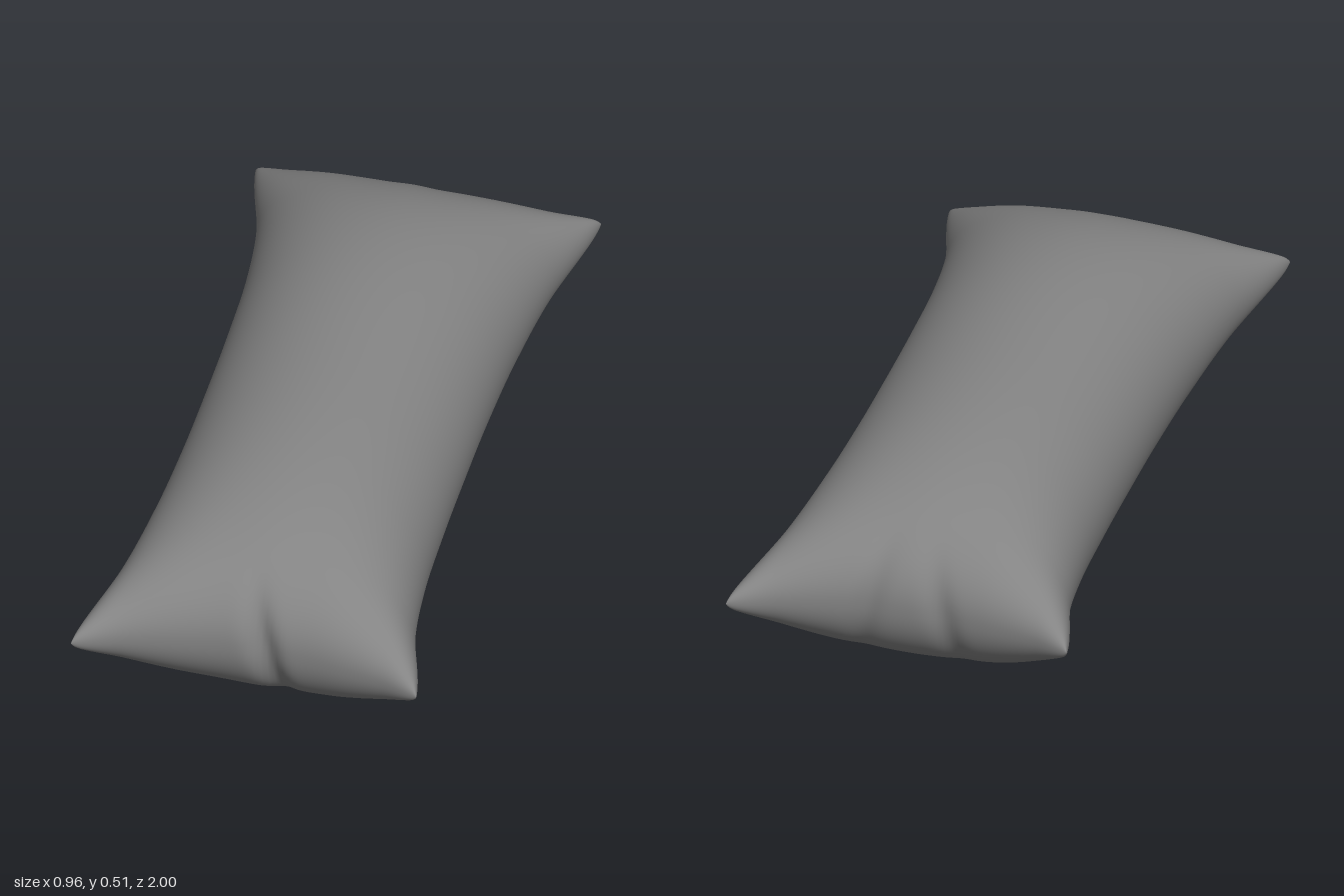
import * as THREE from 'three';
import { mergeVertices } from 'three/addons/utils/BufferGeometryUtils.js';

// Evenly spaced samples over -1..1, joined by a smooth curve
function profile(values) {
  const curve = new THREE.SplineCurve(values.map((y, i) => new THREE.Vector2(i, y)));
  return t => curve.getPoint(THREE.MathUtils.clamp((t + 1) / 2, 0, 1)).y;
}

// Seam outline: half width along the length, half length across the width.
// The opposite edges are the same curves turned half way round.
const sideEdge = profile([0.392, 0.345, 0.328, 0.328, 0.337, 0.35, 0.37, 0.41, 0.482]);
const endEdge = profile([1.0, 0.955, 0.925, 0.905, 0.9, 0.9, 0.915, 0.935, 0.965]);

const dent = (t, centre, width) => Math.exp(-(((t - centre) / width) ** 2));

// Point on the cushion skin; u runs across, v along, side is +1 top or -1 bottom
function skinPoint(u, v, side) {
  const x = THREE.MathUtils.lerp(-sideEdge(-v), sideEdge(v), (u + 1) / 2);
  let z = THREE.MathUtils.lerp(-endEdge(-u), endEdge(u), (v + 1) / 2);
  const a = Math.min(1, Math.abs(u)), b = Math.min(1, Math.abs(v));

  // Inflated height: round across, blunt at the ends, pointed at the corners
  let h = 0.29 * Math.sqrt(1 - a * a) * (1 - b ** 3.4) ** 0.46;
  if (side < 0 && h > 1e-6) {
    // Underside settles flat on the ground, tilted slightly sideways
    h = ((h * 1.05) ** -8 + (0.215 + 0.006 * u) ** -8) ** (-1 / 8);
  }
  // Small blunt tips at the corners
  h += 0.015 * (a * b) ** 14 * Math.sqrt((1 - a ** 60) * (1 - b ** 60));

  // Slanting creases gathered at both ends, fading towards the top
  const fade = THREE.MathUtils.smoothstep(b, 0.82, 1) * (side > 0 ? Math.exp(-((h / 0.17) ** 2)) : 1);
  const slant = -0.5 * side * h;
  if (v > 0) z -= fade * 0.026 * dent(u, 0.06 + slant, 0.075);
  else z += fade * (0.012 * dent(u, -0.2 - slant, 0.08) + 0.013 * dent(u, 0.24 + slant, 0.08));

  return [x, 0.225 - 0.005 * u - 0.01 * v + side * h, z];
}

// One half of the skin, with rows crowded towards the seam
function skinHalf(side) {
  const g = new THREE.PlaneGeometry(2, 2, 96, 120).rotateX(-side * Math.PI / 2);
  const p = g.attributes.position;
  for (let i = 0; i < p.count; i++) {
    const u = Math.sin(p.getX(i) * Math.PI / 2);
    const v = Math.sin(p.getZ(i) * Math.PI / 2);
    p.setXYZ(i, ...skinPoint(u, v, side));
  }
  return g;
}

export function createModel() {
  const group = new THREE.Group();
  group.name = 'cushion';

  // Join top and bottom into one closed, smooth skin
  const positions = [], index = [];
  for (const g of [skinHalf(1), skinHalf(-1)]) {
    const offset = positions.length / 3;
    for (const c of g.attributes.position.array) positions.push(c);
    for (const i of g.index.array) index.push(i + offset);
  }
  let skin = new THREE.BufferGeometry();
  skin.setAttribute('position', new THREE.Float32BufferAttribute(positions, 3));
  skin.setIndex(index);
  skin = mergeVertices(skin, 1e-5);
  skin.computeVertexNormals();
  skin.computeBoundingBox();
  skin.translate(0, -skin.boundingBox.min.y, 0);

  const mesh = new THREE.Mesh(skin, new THREE.MeshStandardMaterial({ color: 0x848484 }));
  mesh.name = 'pillowSkin';
  group.add(mesh);
  return group;
}
